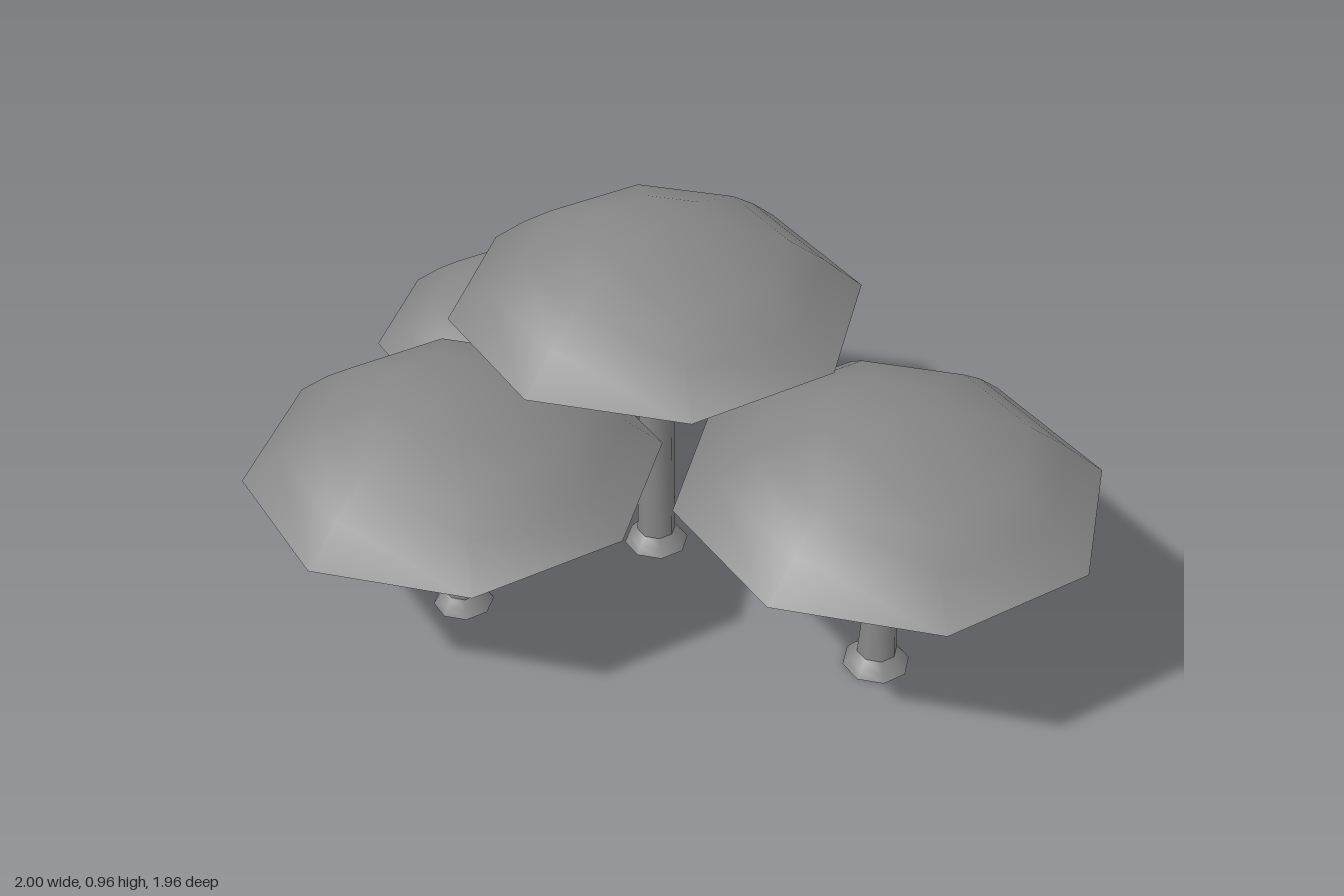
import * as THREE from 'three';
import { mergeVertices } from 'three/addons/utils/BufferGeometryUtils.js';

const SIDES = 8;

// Smooth eight-sided surface turned from [radius, height] points, bottom to top
function turned(name, points, material) {
  const profile = points.map(([r, y]) => new THREE.Vector2(r, y));
  const lathe = new THREE.LatheGeometry(profile, SIDES);
  lathe.deleteAttribute('normal');
  lathe.deleteAttribute('uv');
  const geometry = mergeVertices(lathe);
  geometry.computeVertexNormals();
  const mesh = new THREE.Mesh(geometry, material);
  mesh.name = name;
  return mesh;
}

function createMushroom({ name, x, z, rimY, size, neckY, neckR, topR, footR }, material) {
  const mushroom = new THREE.Group();
  mushroom.name = name;
  mushroom.position.set(x, 0, z);

  // Cap: thin open dome with a bowl of gills set inside its rim
  const cap = new THREE.Group();
  cap.name = 'cap';
  cap.position.y = rimY;
  cap.scale.setScalar(size);
  cap.add(
    turned('dome', [[0.508, 0], [0.41, 0.082], [0.32, 0.145], [0.165, 0.202], [0, 0.217]], material),
    turned('gills', [[0.04, -0.115], [0.07, -0.102], [0.205, -0.062], [0.38, -0.022],
      [0.405, 0], [0.44, 0.055]], material),
  );

  // Stem: waisted shaft that widens into the gills, on an open flared foot
  const topY = rimY - 0.1 * size;
  const ankleR = footR * 0.6;
  const stem = new THREE.Group();
  stem.name = 'stem';
  stem.add(
    turned('shaft', [[ankleR, 0.04], [neckR, neckY - 0.04], [neckR, neckY],
      [(neckR + topR) / 2 - 0.002, (neckY + topY) / 2], [topR, topY]], material),
    turned('foot', [[footR, 0], [footR * 0.84, 0.02], [ankleR, 0.04]], material),
  );

  mushroom.add(cap, stem);
  return mushroom;
}

export function createModel() {
  const material = new THREE.MeshStandardMaterial({ color: 0x868686, side: THREE.DoubleSide });
  const group = new THREE.Group();
  group.name = 'mushroomCluster';
  const mushrooms = [
    { name: 'tallMushroom', x: 0.03, z: -0.075, rimY: 0.742, size: 1, neckY: 0.5, neckR: 0.044, topR: 0.072, footR: 0.083 },
    { name: 'frontMushroom', x: 0.49, z: 0.47, rimY: 0.53, size: 1, neckY: 0.24, neckR: 0.04, topR: 0.067, footR: 0.083 },
    { name: 'sideMushroom', x: -0.49, z: 0.095, rimY: 0.442, size: 1, neckY: 0.2, neckR: 0.042, topR: 0.056, footR: 0.076 },
    { name: 'smallMushroom', x: -0.225, z: -0.555, rimY: 0.367, size: 0.835, neckY: 0.16, neckR: 0.036, topR: 0.05, footR: 0.064 },
  ];
  mushrooms.forEach((m) => group.add(createMushroom(m, material)));
  return group;
}
